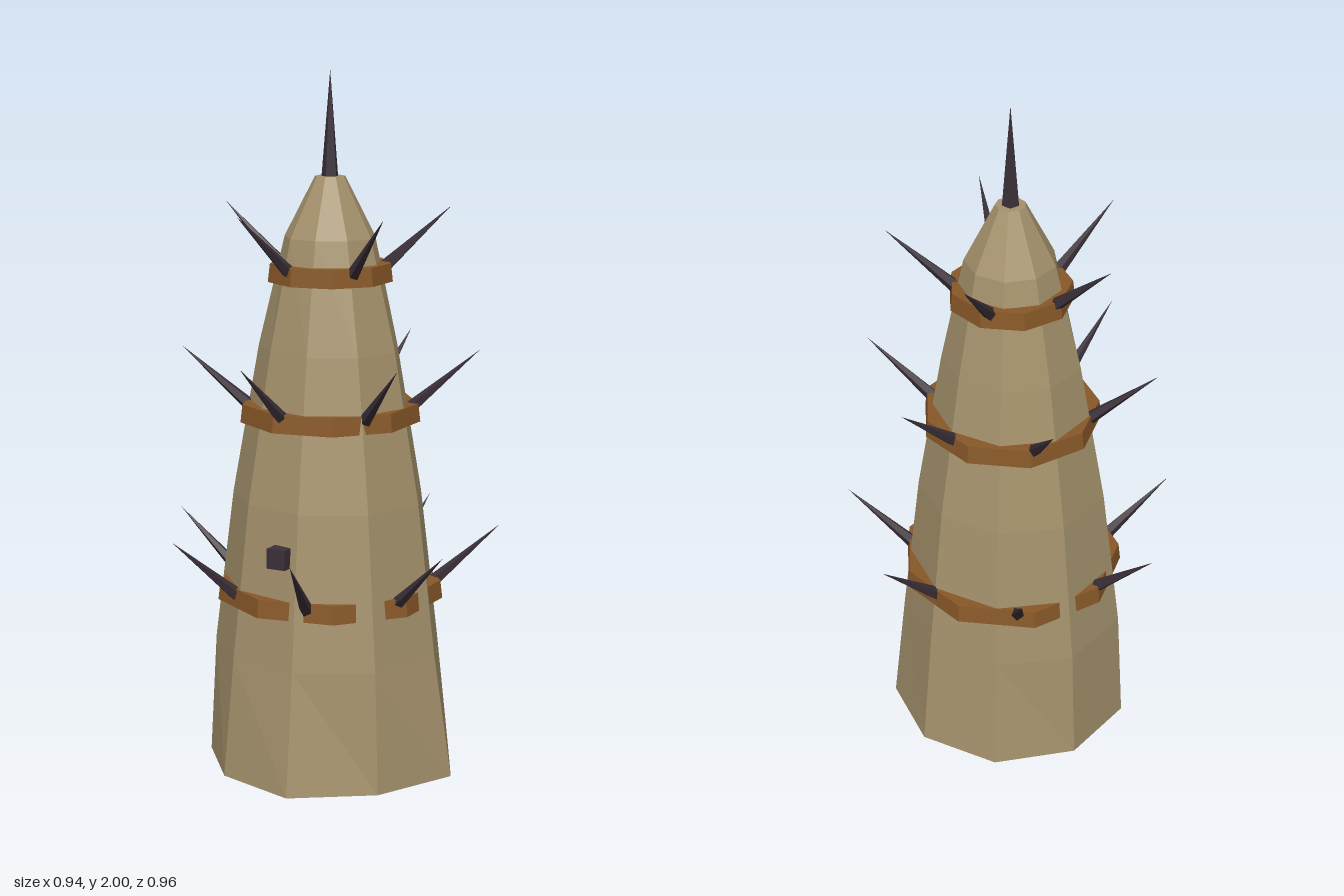
import * as THREE from 'three';

const UP = new THREE.Vector3(0, 1, 0);

const mat = (name, color) => {
  const m = new THREE.MeshStandardMaterial({ color });
  m.name = name;
  return m;
};

// hard-edged facets
function facet(geo) {
  const g = geo.index ? geo.toNonIndexed() : geo;
  g.computeVertexNormals();
  return g;
}

function add(parent, name, geo, material) {
  const mesh = new THREE.Mesh(facet(geo), material);
  mesh.name = name;
  parent.add(mesh);
  return mesh;
}

// nine-sided tapering body with an uneven foot and uneven ribs
function bodyGeometry() {
  const profile = [[0, 0], [0.356, 0], [0.339, 0.35], [0.284, 0.79], [0.207, 1.22], [0.13, 1.535], [0.043, 1.705], [0, 1.705]];
  const foot = [1.11, 1.01, 1, 1, 1, 1, 1, 1.085, 1.03];
  const girth = [1, 0.95, 0.945, 0.95, 0.995, 0.995, 0.95, 0.985, 1.015];
  const geo = new THREE.LatheGeometry(profile.map(([r, y]) => new THREE.Vector2(r, y)), 9, Math.PI / 2);
  const p = geo.attributes.position;
  for (let i = 0; i < p.count; i++) {
    const row = i % profile.length;
    const rib = Math.floor(i / profile.length) % 9;
    const k = row === 1 ? foot[rib] : row < 5 ? girth[rib] : 1;
    p.setX(i, p.getX(i) * k);
    p.setZ(i, p.getZ(i) * k);
  }
  return geo;
}

// pointed spike running from base to tip
function addSpike(parent, name, base, tip, radius, material) {
  const length = base.distanceTo(tip);
  const geo = new THREE.ConeGeometry(radius, length, 5).translate(0, length / 2, 0);
  const spike = add(parent, name, geo, material);
  spike.position.copy(base);
  spike.quaternion.setFromUnitVectors(UP, tip.clone().sub(base).normalize());
}

export function createModel() {
  const root = new THREE.Group();
  root.name = 'spikedTower';
  const stone = mat('sandstone', 0xa5926c);
  const wood = mat('brownBand', 0x885828);
  const iron = mat('darkIron', 0x3b3039);

  // the tower axis sits slightly off centre
  const tower = new THREE.Group();
  tower.name = 'tower';
  tower.position.set(0.015, 0, 0.007);
  root.add(tower);

  add(tower, 'body', bodyGeometry(), stone);

  // bands, each with its crown of upswept spikes
  const bands = [
    { y: 0.518, r: 0.328, count: 7, start: 28.6, baseR: 0.295, tipR: 0.492 },
    { y: 1.036, r: 0.26, count: 6, start: 23.5, baseR: 0.225, tipR: 0.426 },
    { y: 1.436, r: 0.179, count: 5, start: 35, baseR: 0.15, tipR: 0.345 },
  ];
  bands.forEach(({ y, r, count, start, baseR, tipR }) => {
    const group = new THREE.Group();
    group.name = 'spikedBand';
    group.position.y = y;
    tower.add(group);
    add(group, 'band', new THREE.CylinderGeometry(r - 0.006, r, 0.052, 9, 1, false, -Math.PI / 2), wood);
    for (let i = 0; i < count; i++) {
      const a = THREE.MathUtils.degToRad(start) + (i * 2 * Math.PI) / count;
      const at = (radius, h) => new THREE.Vector3(Math.cos(a) * radius, h, -Math.sin(a) * radius);
      addSpike(group, 'bandSpike', at(baseR, 0.005), at(tipR, 0.181), 0.02, iron);
    }
  });

  // spike at the summit
  addSpike(tower, 'topSpike', new THREE.Vector3(0, 1.7, 0), new THREE.Vector3(0, 2, 0), 0.025, iron);

  // small block on the front
  const block = add(tower, 'frontBlock', new THREE.BoxGeometry(0.057, 0.057, 0.05), iron);
  block.position.set(0, 0.667, 0.293);

  return root;
}
